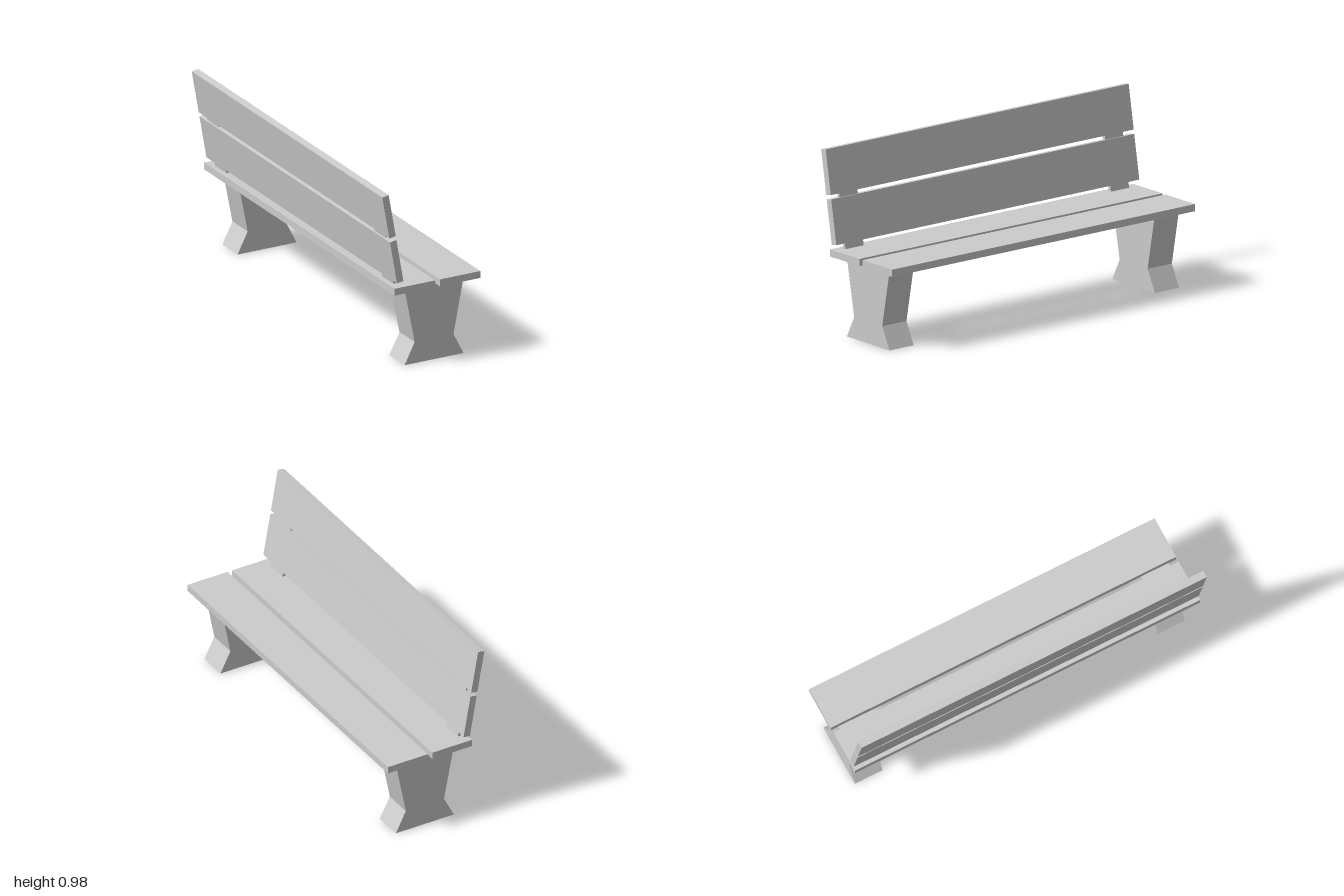
import * as THREE from 'three';

export function createModel() {
  const bench = new THREE.Group();
  bench.name = 'bench';
  const material = new THREE.MeshStandardMaterial({ color: 0xcccccc, flatShading: true });

  const add = (parent, name, geometry, x, y, z) => {
    const mesh = new THREE.Mesh(geometry, material);
    mesh.name = name;
    mesh.position.set(x, y, z);
    parent.add(mesh);
    return mesh;
  };

  const thickness = 0.038, plankWidth = 0.238, length = 2;
  const sides = [['left', -1], ['right', 1]];
  const supportZ = 0.876;

  // Seat: two flat planks with a narrow gap
  const seatPlank = new THREE.BoxGeometry(plankWidth, thickness, length);
  add(bench, 'rearSeatPlank', seatPlank, -0.097, 0.434, 0);
  add(bench, 'frontSeatPlank', seatPlank, 0.168, 0.434, 0);

  // Legs: waisted slab profile extruded along the bench
  const profile = new THREE.Shape([
    [-0.133, 0], [0.213, 0], [0.154, 0.116], [0.213, 0.418], [-0.133, 0.418], [-0.074, 0.116],
  ].map(([x, y]) => new THREE.Vector2(x, y)));
  const legDepth = 0.16;
  const legGeometry = new THREE.ExtrudeGeometry(profile, { depth: legDepth, bevelEnabled: false });
  legGeometry.translate(0, 0, -legDepth / 2);

  // Backrest: built upright about its lower plank, then leaned back
  const backrest = new THREE.Group();
  backrest.name = 'backrest';
  backrest.position.set(-0.204, 0.6, 0);
  backrest.rotation.z = THREE.MathUtils.degToRad(10);
  bench.add(backrest);
  const backPlank = new THREE.BoxGeometry(thickness, plankWidth, length);
  add(backrest, 'lowerBackPlank', backPlank, 0, 0, 0);
  add(backrest, 'upperBackPlank', backPlank, 0, 0.2605, 0);

  // Thin posts run from the seat up through the back planks
  const postBottom = -0.16, postTop = 0.3;
  const post = new THREE.BoxGeometry(0.018, postTop - postBottom, 0.12);
  for (const [side, sign] of sides) {
    add(bench, side + 'Leg', legGeometry, 0, 0, -sign * -supportZ);
    add(backrest, side + 'BackPost', post, 0, (postTop + postBottom) / 2, sign * supportZ);
  }
  return bench;
}
